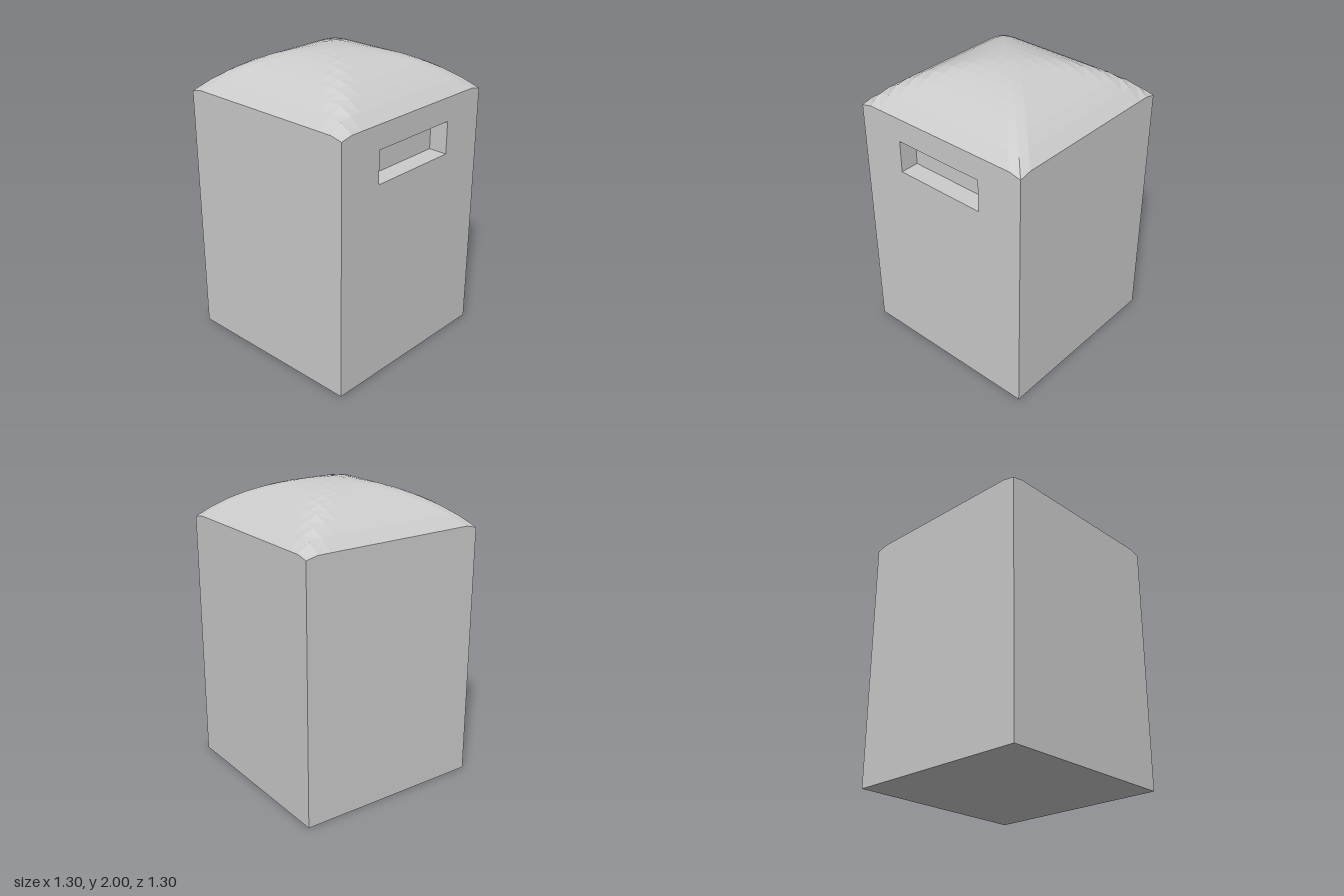
import * as THREE from 'three';

const HALF = 0.648;      // half width of the square plan
const EAVE = 1.735;      // height of the wall tops
const TIP = 0.018;       // how far the vault corners dip
const CELLS = 16;
const STEP = (2 * HALF) / CELLS;

const material = new THREE.MeshStandardMaterial({ color: 0xcccccc, flatShading: true });

function part(name, geometry) {
  const flat = geometry.index ? geometry.toNonIndexed() : geometry;
  flat.computeVertexNormals();
  const mesh = new THREE.Mesh(flat, material);
  mesh.name = name;
  return mesh;
}

// One wall, its top corners dipping to meet the vault
function wallShape() {
  return new THREE.Shape([
    [-HALF, 0], [HALF, 0], [HALF, EAVE - TIP], [HALF - STEP, EAVE],
    [-HALF + STEP, EAVE], [-HALF, EAVE - TIP],
  ].map(([x, y]) => new THREE.Vector2(x, y)));
}

// Square vault: circular arc over the larger of |x| and |z|, softened on the diagonals
function vaultGeometry() {
  const rise = 2 - EAVE;
  const radius = (HALF * HALF + rise * rise) / (2 * rise);
  const geometry = new THREE.PlaneGeometry(2 * HALF, 2 * HALF, CELLS, CELLS).rotateX(-Math.PI / 2);
  const p = geometry.attributes.position;
  for (let i = 0; i < p.count; i++) {
    const x = Math.abs(p.getX(i)), z = Math.abs(p.getZ(i));
    const d = Math.max(x, z);
    const dip = Math.abs(x - z) < STEP / 2 ? TIP * d / HALF : 0;
    p.setY(i, 2 - radius + Math.sqrt(radius * radius - d * d) - dip);
  }
  return geometry;
}

export function createModel() {
  const group = new THREE.Group();
  group.name = 'domedBox';

  // Slot in the left wall
  const slot = { width: 0.65, bottom: 1.355, top: 1.575, depth: 0.13 };
  const s = slot.width / 2;

  // Four walls, turned about the vertical axis
  ['frontWall', 'leftWall', 'backWall', 'rightWall'].forEach((name, i) => {
    const shape = wallShape();
    if (name === 'leftWall') {
      shape.holes.push(new THREE.Path([
        new THREE.Vector2(-s, slot.bottom), new THREE.Vector2(-s, slot.top),
        new THREE.Vector2(s, slot.top), new THREE.Vector2(s, slot.bottom),
      ]));
    }
    const geometry = new THREE.ShapeGeometry(shape).translate(0, 0, HALF).rotateY(i * Math.PI / 2);
    group.add(part(name, geometry));
  });

  // Slot lining: a box without its outer face, turned inside out
  const lining = new THREE.BoxGeometry(slot.depth, slot.top - slot.bottom, slot.width);
  lining.setIndex(Array.from(lining.index.array).slice(6).reverse());
  lining.translate(HALF - slot.depth / 2, (slot.top + slot.bottom) / 2, 0);
  group.add(part('slotLining', lining));

  group.add(part('base', new THREE.PlaneGeometry(2 * HALF, 2 * HALF).rotateX(Math.PI / 2)));
  group.add(part('vaultedLid', vaultGeometry()));
  return group;
}
